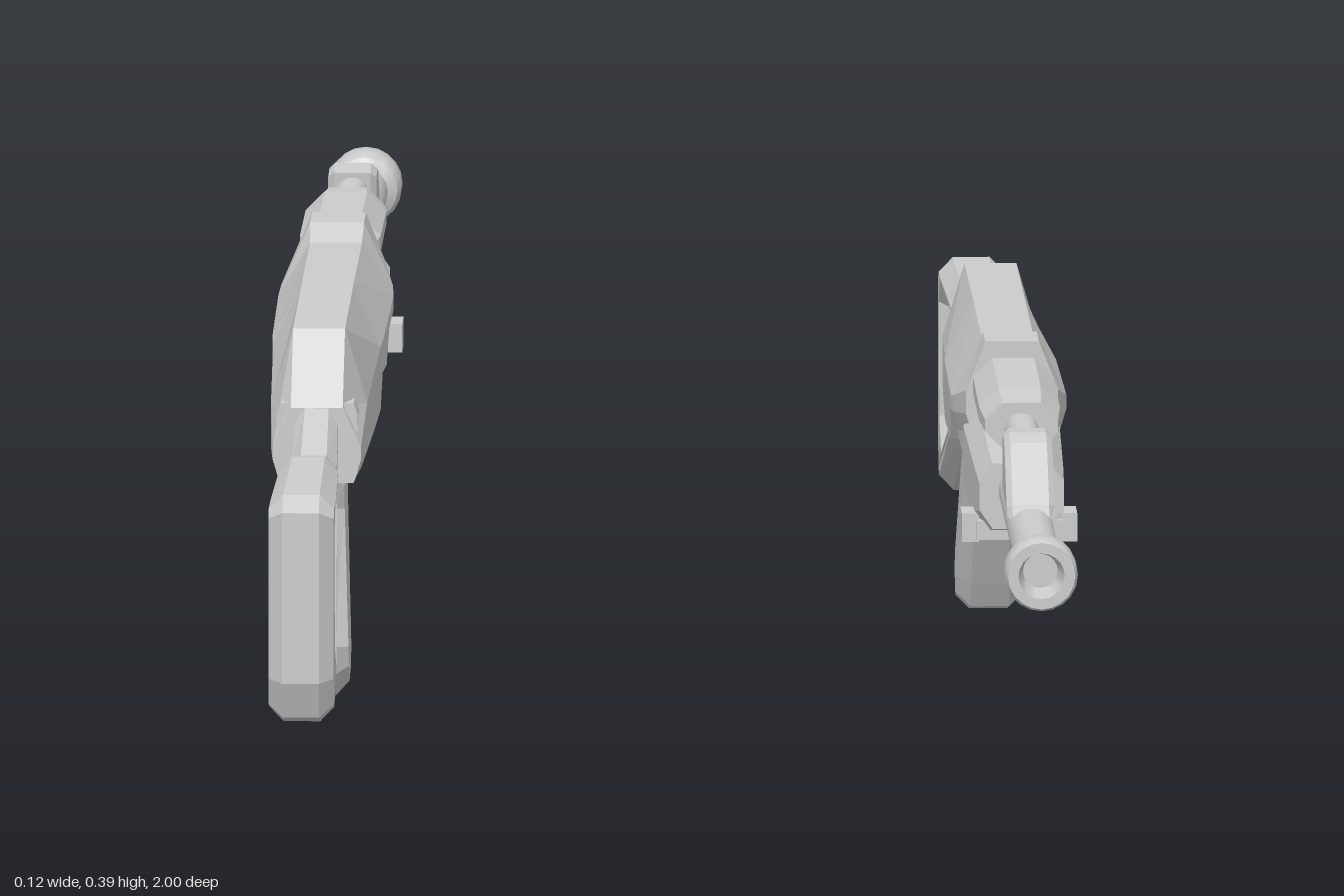
import * as THREE from 'three';
import { toCreasedNormals } from 'three/addons/utils/BufferGeometryUtils.js';

const steel = new THREE.MeshStandardMaterial({ color: 0xcccccc });
steel.name = 'light grey';

// Skin mirrored half profiles ([x, y] from bottom to top), ordered from rear (+z) to muzzle (-z)
function loft(sections) {
  const rings = sections.map(([z, half]) => [
    ...half.map(([x, y]) => [x, y, z]),
    ...half.slice().reverse().map(([x, y]) => [-x, y, z]),
  ]);
  const pos = [], n = rings[0].length;
  const tri = (a, b, c) => pos.push(...a, ...b, ...c);
  for (let i = 0; i < rings.length - 1; i++) {
    const p = rings[i], q = rings[i + 1];
    for (let j = 0; j < n; j++) {
      const k = (j + 1) % n;
      tri(p[j], q[j], p[k]);
      tri(p[k], q[j], q[k]);
    }
  }
  const last = rings[rings.length - 1];
  for (let j = 1; j < n - 1; j++) {
    tri(rings[0][0], rings[0][j], rings[0][j + 1]);
    tri(last[0], last[j + 1], last[j]);
  }
  const g = new THREE.BufferGeometry();
  g.setAttribute('position', new THREE.Float32BufferAttribute(pos, 3));
  g.computeVertexNormals();
  return g;
}

// Chamfered slab from a side outline given as [z, y], centred on x = 0
function slab(outline, halfWidth, bevel, hole) {
  const toPts = (list) => list.map(([z, y]) => new THREE.Vector2(z, y));
  const shape = new THREE.Shape(toPts(outline));
  if (hole) shape.holes.push(new THREE.Path(toPts(hole)));
  const depth = 2 * (halfWidth - bevel);
  const g = new THREE.ExtrudeGeometry(shape, {
    depth, bevelEnabled: bevel > 0, bevelThickness: bevel, bevelSize: bevel,
    bevelOffset: -bevel, bevelSegments: 1, curveSegments: 8,
  });
  return g.translate(0, 0, -depth / 2).rotateY(-Math.PI / 2);
}

// Solid of revolution along -z; points are [radius, distance forward]
function turned(points, y) {
  const g = new THREE.LatheGeometry(points.map(([r, d]) => new THREE.Vector2(r, d)), 20);
  g.rotateX(-Math.PI / 2).translate(0, y, 0);
  return toCreasedNormals(g, 0.6);
}

// Scale the width of a geometry by a rule of z and y
function widen(g, rule) {
  const p = g.attributes.position;
  for (let i = 0; i < p.count; i++) p.setX(i, p.getX(i) * rule(p.getZ(i), p.getY(i)));
  g.computeVertexNormals();
  return g;
}

// Eight-sided bar section
const oct = (w, y0, y1, cx, cy) => [[w - cx, y0], [w, y0 + cy], [w, y1 - cy], [w - cx, y1]];

export function createModel() {
  const model = new THREE.Group();
  const add = (name, geometry) => {
    const mesh = new THREE.Mesh(geometry, steel);
    mesh.name = name;
    model.add(mesh);
  };

  // Stock: chamfered frame with a sunken web
  const stockTaper = (z) => THREE.MathUtils.clamp(0.65 + (z - 0.55) * 1.2, 0.65, 1);
  add('stockFrame', widen(slab(
    [[0.5, 0.226], [0.57, 0.208], [0.68, 0.165], [0.955, 0.053], [0.985, 0.062], [1, 0.1],
      [1, 0.28], [0.975, 0.295], [0.76, 0.298], [0.6, 0.272], [0.5, 0.308]],
    0.034, 0.015,
    [[0.62, 0.232], [0.9, 0.118], [0.935, 0.14], [0.945, 0.245], [0.925, 0.265], [0.76, 0.262], [0.62, 0.25]],
  ), stockTaper));
  add('stockWeb', slab(
    [[0.6, 0.225], [0.93, 0.09], [0.965, 0.12], [0.97, 0.26], [0.94, 0.28], [0.76, 0.275], [0.6, 0.255]],
    0.012, 0));

  // Receiver: narrow lower body under a flared upper cover
  add('lowerReceiver', loft([0.5, -0.08].map((z) => [z, oct(0.042, 0.226, 0.31, 0.004, 0.01)])));
  const coverSection = ([z, bottom, wide, top, topHalf, shoulder]) => [z, [
    [wide - 0.006, bottom], [wide, bottom + 0.02], [wide, shoulder], [topHalf, top],
  ]];
  add('receiverCover', loft([
    [0.506, 0.232, 0.046, 0.306, 0.027, 0.265],
    [0.436, 0.232, 0.05, 0.378, 0.027, 0.3],
    [0.2, 0.232, 0.056, 0.38, 0.027, 0.318],
    [0.16, 0.288, 0.058, 0.38, 0.027, 0.322],
    [-0.08, 0.29, 0.06, 0.38, 0.027, 0.324],
    [-0.11, 0.292, 0.058, 0.396, 0.028, 0.33],
    [-0.172, 0.3, 0.048, 0.396, 0.028, 0.345],
  ].map(coverSection)));

  // Fore-end: lower handguard, its side lugs and the upper handguard
  add('lowerHandguard', loft([
    [-0.08, oct(0.042, 0.228, 0.305, 0.012, 0.018)],
    [-0.1, oct(0.048, 0.218, 0.325, 0.016, 0.022)],
    [-0.16, oct(0.05, 0.216, 0.326, 0.016, 0.022)],
    [-0.37, oct(0.046, 0.23, 0.315, 0.014, 0.02)],
    [-0.44, oct(0.044, 0.243, 0.312, 0.014, 0.02)],
  ]));
  for (const side of [-1, 1]) {
    add(side > 0 ? 'leftLug' : 'rightLug',
      new THREE.BoxGeometry(0.018, 0.03, 0.045).translate(side * 0.051, 0.235, -0.36));
  }
  add('handguardStrap', slab([[-0.33, 0.22], [-0.33, 0.24], [-0.4, 0.245], [-0.4, 0.225]], 0.045, 0));
  add('upperHandguard', loft([
    [-0.19, oct(0.034, 0.33, 0.37, 0.014, 0.014)],
    [-0.21, oct(0.042, 0.328, 0.385, 0.02, 0.02)],
    [-0.38, oct(0.042, 0.328, 0.382, 0.02, 0.02)],
    [-0.44, oct(0.038, 0.328, 0.376, 0.018, 0.018)],
  ]));

  // Tubes and front block
  add('gasTube', turned([[0, 0.15], [0.018, 0.15], [0.018, 0.6], [0, 0.6]], 0.347));
  add('frontBlock', slab(
    [[-0.57, 0.305], [-0.705, 0.295], [-0.7, 0.312], [-0.635, 0.366], [-0.61, 0.373], [-0.565, 0.37]],
    0.025, 0.006));
  add('barrel', turned([[0, 0.1], [0.024, 0.1], [0.024, 0.96], [0, 0.96]], 0.284));
  add('muzzle', turned([[0.024, 0.945], [0.034, 0.95], [0.038, 0.96], [0.038, 0.993], [0.035, 1],
    [0.024, 1], [0.018, 0.965], [0, 0.965]], 0.286));

  // Pistol grip, swelling towards the foot
  add('grip', widen(slab(
    [[0.505, 0.003], [0.45, 0.014], [0.435, 0.04], [0.35, 0.2], [0.355, 0.23], [0.48, 0.23],
      [0.475, 0.195], [0.54, 0.06], [0.535, 0.03]],
    0.034, 0.014), (z, y) => 1 - 0.2 * Math.min(1, Math.max(0, (y - 0.05) / 0.15))));

  // Trigger guard, trigger and catch
  add('triggerGuard', slab(
    [[0.36, 0.23], [0.36, 0.18], [0.325, 0.145], [0.24, 0.143], [0.21, 0.17], [0.21, 0.23]], 0.013, 0,
    [[0.35, 0.225], [0.35, 0.185], [0.32, 0.153], [0.245, 0.151], [0.22, 0.175], [0.22, 0.225]]));
  add('trigger', slab(
    [[0.315, 0.23], [0.312, 0.185], [0.29, 0.16], [0.284, 0.163], [0.298, 0.19], [0.295, 0.23]], 0.007, 0));
  add('catch', slab([[0.225, 0.23], [0.225, 0.17], [0.195, 0.17], [0.182, 0.195], [0.18, 0.23]], 0.018, 0.004));

  return model;
}
